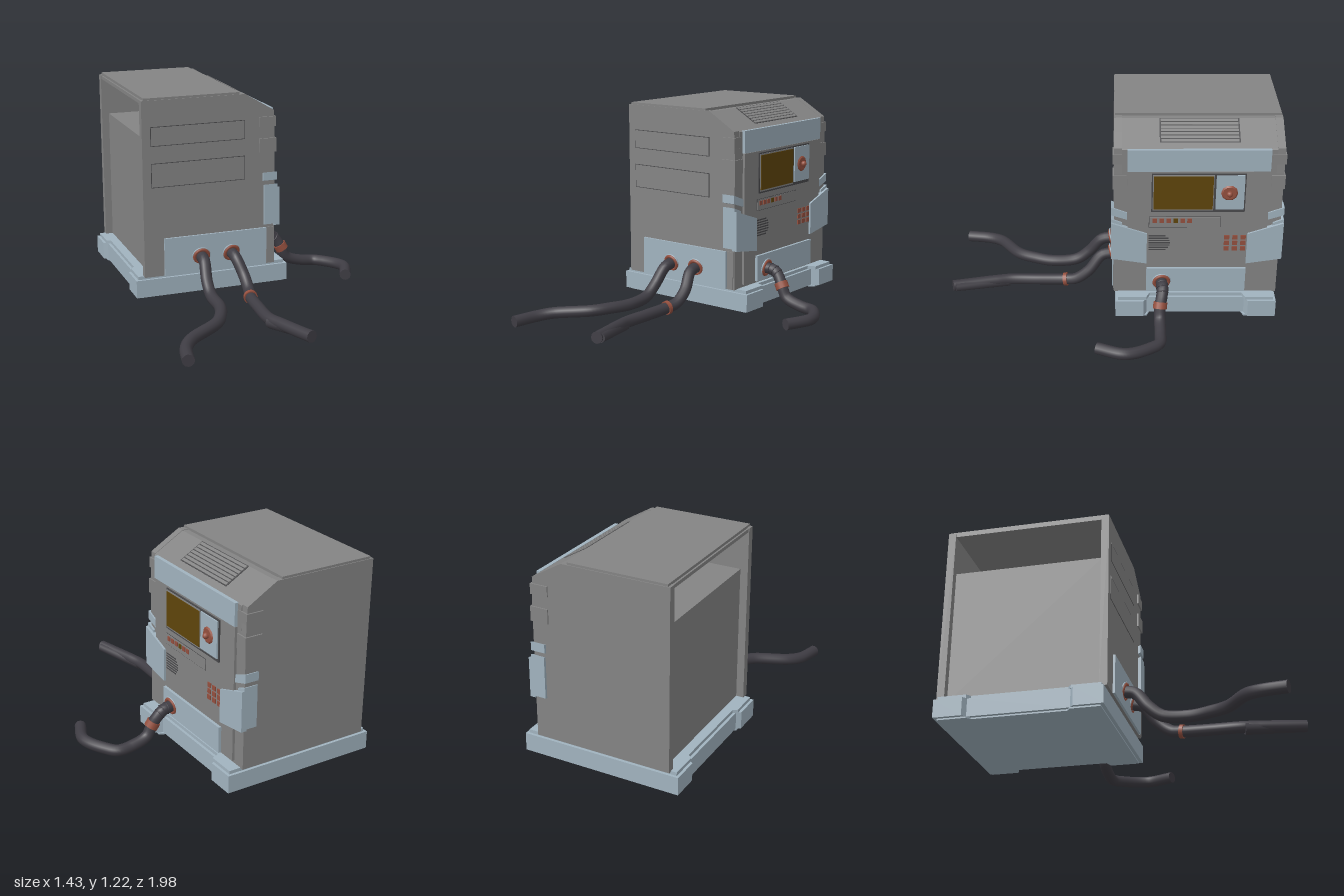
import * as THREE from 'three';

const mat = (name, color) => Object.assign(new THREE.MeshStandardMaterial({ color }), { name });

export function createModel() {
  const root = new THREE.Group();
  root.name = 'generatorCabinet';
  const grey = mat('casing grey', 0x848484);
  const blue = mat('pale steel blue', 0xa1b3bf);
  const dark = mat('hose charcoal', 0x3f3d44);
  const black = mat('recess dark grey', 0x4a4a4c);
  const rust = mat('rust red', 0x95503f);
  const amber = mat('amber screen', 0x5f450b);

  const add = (name, geo, material, parent = root) => {
    const m = new THREE.Mesh(geo, material);
    m.name = name;
    parent.add(m);
    return m;
  };
  // Box from its two extreme corners
  const box = (name, m, x0, x1, y0, y1, z0, z1, parent) => {
    const b = add(name, new THREE.BoxGeometry(x1 - x0, y1 - y0, Math.abs(z1 - z0)), m, parent);
    b.position.set((x0 + x1) / 2, (y0 + y1) / 2, (z0 + z1) / 2);
    return b;
  };
  const shape = pts => new THREE.Shape(pts.map(p => new THREE.Vector2(...p)));
  const extrude = (pts, depth) => new THREE.ExtrudeGeometry(shape(pts), { depth, bevelEnabled: false });
  // Side profile (x, y) pushed along z
  const profileZ = (name, m, pts, z0, z1) => {
    add(name, extrude(pts, z1 - z0), m).position.z = z0;
  };
  // Control face profile (-z, y) pushed along x
  const profileX = (name, m, pts, x0, x1) => {
    const p = add(name, extrude(pts, x1 - x0), m);
    p.rotation.y = Math.PI / 2;
    p.position.x = x0;
  };

  // Base with corner feet standing proud of both ends
  const basePlan = (g) => [
    [-0.68 + g, 0.975 - g], [0.273 - g, 0.975 - g], [0.273 - g, 0.81 - g], [0.225 - g, 0.79 - g],
    [0.225 - g, 0.21 + g], [0.273 - g, 0.19 + g], [0.273 - g, 0.022 + g], [-0.68 + g, 0.022 + g],
    [-0.68 + g, 0.19 + g], [-0.655 + g, 0.21 + g], [-0.655 + g, 0.79 - g], [-0.68 + g, 0.81 - g]];
  [['base', 0.037, 0.143, 0], ['baseLip', 0.143, 0.163, 0.016], ['baseUnderside', 0.028, 0.037, 0.02]].forEach(([n, y0, y1, g]) => {
    const b = add(n, extrude(basePlan(g), y1 - y0), blue);
    b.rotation.x = -Math.PI / 2;
    b.position.y = y0;
  });

  // Cabinet core: roof, sloped brow, front and recessed rear block
  profileZ('cabinetCore', grey, [[-0.625, 1.21], [0, 1.21], [0.18, 1.104], [0.186, 1.1], [0.186, 0.16],
    [-0.585, 0.16], [-0.585, 0.965], [-0.06, 0.965], [-0.06, 1.19], [-0.625, 1.19]], -0.935, -0.06);
  // Side walls reaching past the recessed rear
  const wall = [[-0.63, 1.213], [0, 1.213], [0.085, 1.163], [0.18, 1.106], [0.186, 0.95], [0.186, 0.16], [-0.63, 0.16]];
  profileZ('leftWall', grey, wall, -0.06, -0.015);
  profileZ('rightWall', grey, wall, -0.98, -0.935);
  box('roofPlate', grey, -0.615, -0.035, 1.208, 1.226, -0.975, -0.02);

  // Vent set flush in the sloped brow
  const vent = new THREE.Group();
  vent.name = 'roofVent';
  vent.position.set(0.073, 1.168, -0.5);
  vent.rotation.z = -Math.atan2(0.106, 0.18);
  root.add(vent);
  box('ventRecess', black, -0.083, 0.083, -0.004, 0.001, -0.228, 0.228, vent);
  for (let i = 0; i < 7; i++) {
    const s = -0.069 + i * 0.023;
    box('ventSlat', grey, s - 0.0085, s + 0.0085, -0.003, 0.004, -0.22, 0.22, vent);
  }

  // Outlined cover plates on the front side
  for (const [y0, y1] of [[0.945, 1.06], [0.7, 0.845]]) {
    box('coverSeam', black, -0.58, -0.002, y0, y1, -0.016, -0.0135);
    box('coverPlate', grey, -0.576, -0.006, y0 + 0.004, y1 - 0.004, -0.016, -0.0125);
  }
  box('hosePlate', blue, -0.51, 0.13, 0.162, 0.39, -0.016, -0.002);
  box('cornerStrip', grey, 0.135, 0.178, 0.162, 0.39, -0.016, -0.01);

  // Corner tabs and clamps on both edges of the control face
  for (const right of [false, true]) {
    const u = v => right ? 0.994 - v : v;
    const pts = a => a.map(([p, y]) => [u(p), y]);
    const side = right ? 'right' : 'left';
    const rect = (a, b, y0, y1) => pts([[a, y0], [b, y0], [b, y1], [a, y1]]);
    profileX(side + 'UpperTab', grey, rect(0.006, 0.085, 1.01, 1.07), 0.085, 0.19);
    profileX(side + 'LowerTab', grey, rect(0.006, 0.085, 0.855, 0.94), 0.087, 0.194);
    profileX(side + 'SmallClamp', blue, pts([[-0.002, 0.735], [0.09, 0.70], [0.09, 0.655], [-0.002, 0.685]]), 0.11, 0.195);
    profileX(side + 'ClampCheek', blue, pts([[-0.002, 0.66], [0.06, 0.635], [0.06, 0.395], [-0.002, 0.412]]), 0.115, 0.198);
    profileX(side + 'ClampFace', blue, pts([[-0.002, 0.64], [0.205, 0.57], [0.205, 0.37], [-0.002, 0.402]]), 0.18, 0.213);
  }

  // Control face
  box('frontPanel', grey, 0.18, 0.201, 0.18, 0.97, -0.9, -0.092);
  box('upperBand', blue, 0.181, 0.204, 0.972, 1.105, -0.9, -0.09);
  box('lowerBand', blue, 0.19, 0.218, 0.18, 0.337, -0.79, -0.205);
  box('screenBezel', black, 0.195, 0.209, 0.715, 0.96, -0.765, -0.228);
  box('screenSurround', grey, 0.2, 0.212, 0.725, 0.953, -0.583, -0.235);
  box('screen', amber, 0.21, 0.216, 0.735, 0.945, -0.579, -0.24);
  box('knobPanel', blue, 0.2, 0.217, 0.735, 0.952, -0.757, -0.595);
  // Knob turned around x
  const knobPart = (name, geo, x) => {
    const k = add(name, geo, rust);
    k.rotation.z = -Math.PI / 2;
    k.position.set(x, 0.842, -0.672);
  };
  knobPart('knob', new THREE.CylinderGeometry(0.04, 0.05, 0.008, 10), 0.22);
  knobPart('knobStem', new THREE.CylinderGeometry(0.012, 0.012, 0.02, 12), 0.23);
  knobPart('knobTip', new THREE.SphereGeometry(0.018, 12, 8), 0.232);

  // Button strip and keypad
  box('buttonStripSeam', black, 0.198, 0.203, 0.61, 0.68, -0.632, -0.215);
  box('buttonStrip', grey, 0.198, 0.205, 0.613, 0.677, -0.629, -0.218);
  for (let i = 0; i < 6; i++) {
    const z = -0.25 - i * 0.04;
    box('button', i === 3 ? amber : rust, 0.203, 0.21, 0.642, 0.668, z - 0.013, z + 0.013);
  }
  for (let i = 0; i < 9; i++) {
    const z = -0.67 - (i % 3) * 0.048, y = 0.542 - Math.floor(i / 3) * 0.037;
    box('key', rust, 0.2, 0.207, y - 0.0135, y + 0.0135, z - 0.015, z + 0.015);
  }
  // Speaker slits, rounded at one end
  for (let i = -3; i <= 3; i++) {
    const end = -0.285 - Math.sqrt(0.055 ** 2 - (i * 0.0155) ** 2);
    box('speakerSlit', black, 0.2, 0.2025, 0.505 + i * 0.0155 - 0.004, 0.505 + i * 0.0155 + 0.004, end, -0.215);
  }

  // Hoses with flanged sockets, end caps and couplings
  const ring = (name, p, dir, r, tube, m) => {
    const t = add(name, new THREE.TorusGeometry(r, tube, 8, 20), m);
    t.position.copy(p);
    t.lookAt(p.clone().add(dir));
  };
  const hose = (name, pts, r, coupling, m) => {
    const curve = new THREE.CatmullRomCurve3(pts.map(p => new THREE.Vector3(...p)));
    add(name, new THREE.TubeGeometry(curve, 60, r, 12), dark);
    const end = add(name + 'End', new THREE.CircleGeometry(r, 12), dark);
    end.position.copy(curve.getPoint(1));
    end.lookAt(end.position.clone().add(curve.getTangent(1)));
    const start = curve.getPoint(0), dir = curve.getTangent(0);
    ring(name + 'Socket', start, dir, 0.043, 0.011, rust);
    ring(name + 'SocketRim', start.clone().addScaledVector(dir, -0.002), dir, 0.054, 0.004, blue);
    if (coupling) {
      const p = curve.getPoint(coupling), d = curve.getTangent(coupling);
      const c = add(name + 'Coupling', new THREE.CylinderGeometry(r + 0.007, r + 0.007, m, 16), rust);
      c.position.copy(p);
      c.quaternion.setFromUnitVectors(new THREE.Vector3(0, 1, 0), d);
    }
  };
  hose('rearHose', [[-0.285, 0.26, 0], [-0.287, 0.245, 0.06], [-0.3, 0.15, 0.14], [-0.302, 0.09, 0.22],
    [-0.303, 0.075, 0.37], [-0.34, 0.075, 0.49], [-0.40, 0.07, 0.59], [-0.59, 0.052, 0.72], [-0.645, 0.042, 0.8],
    [-0.68, 0.036, 0.945]], 0.035);
  hose('middleHose', [[-0.095, 0.26, 0], [-0.09, 0.245, 0.06], [-0.066, 0.15, 0.14], [-0.068, 0.09, 0.22],
    [-0.083, 0.075, 0.285], [-0.095, 0.067, 0.45], [-0.1, 0.065, 0.62], [-0.075, 0.07, 0.72], [-0.035, 0.075, 0.86],
    [0.0, 0.08, 0.975]], 0.034, 4 / 9, 0.022);
  // Flattened wider tail of the middle hose
  const tail = add('middleHoseTail', new THREE.CylinderGeometry(0.028, 0.036, 0.34, 10), dark);
  tail.position.set(-0.045, 0.066, 0.8);
  tail.quaternion.setFromUnitVectors(new THREE.Vector3(0, 1, 0), new THREE.Vector3(0.12, 0.025, 0.33).normalize());
  hose('frontHose', [[0.222, 0.25, -0.295], [0.28, 0.24, -0.3], [0.315, 0.205, -0.295], [0.342, 0.16, -0.285],
    [0.38, 0.09, -0.283], [0.48, 0.055, -0.283], [0.565, 0.047, -0.275], [0.62, 0.05, -0.215], [0.672, 0.055, -0.12],
    [0.68, 0.058, -0.055], [0.622, 0.056, 0.085]], 0.034, 0.3, 0.04);
  // Ribs on the bend of the front hose
  [[0.255, 0.247, 0.1], [0.28, 0.24, 0.5], [0.3, 0.224, 0.8]].forEach(([x, y, s]) =>
    ring('hoseRib', new THREE.Vector3(x, y, -0.298), new THREE.Vector3(1, -s, 0), 0.033, 0.004, dark));
  return root;
}
